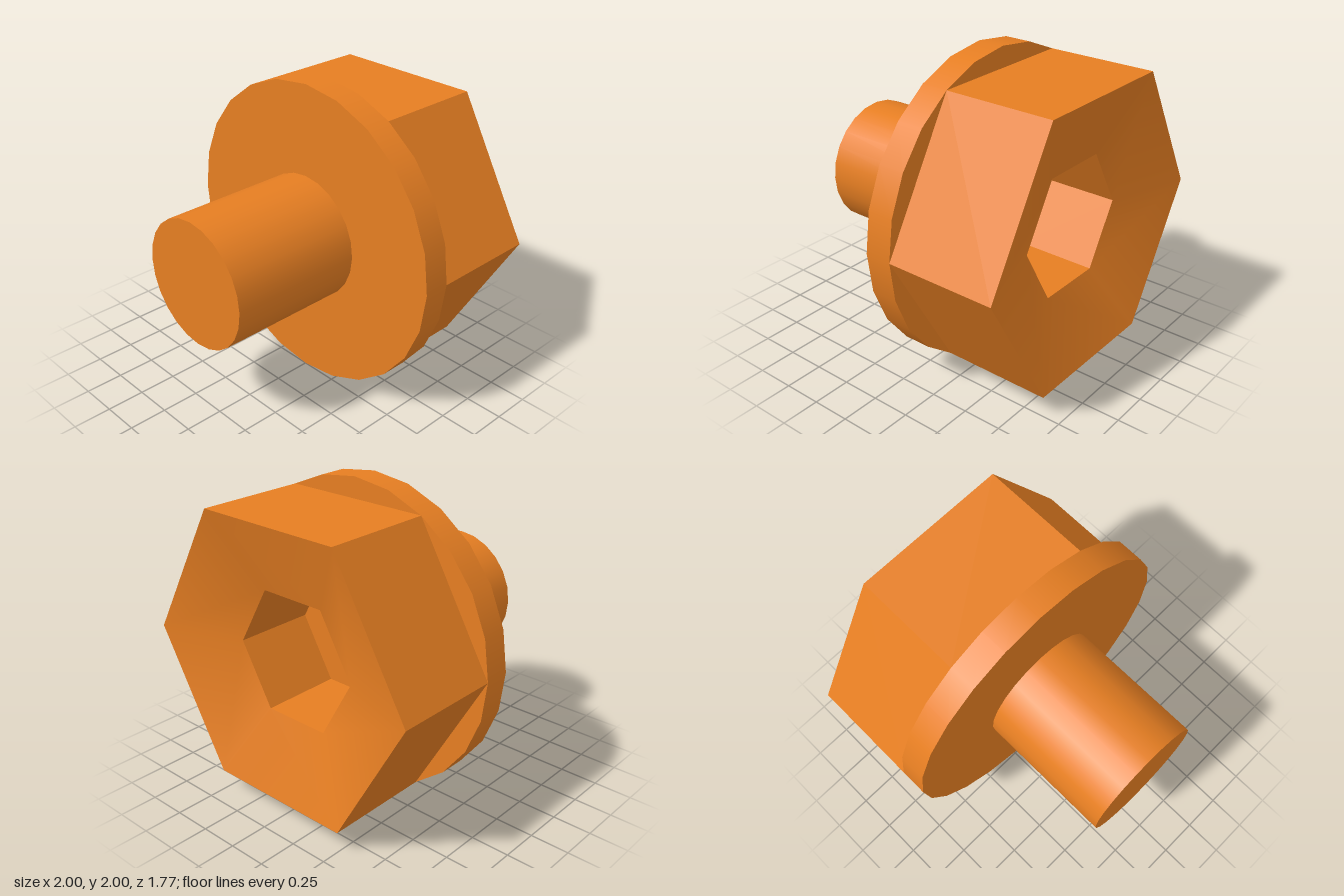
import * as THREE from 'three';

export function createModel() {
  const group = new THREE.Group();
  const color = 0xe67e22;
  const smooth = new THREE.MeshStandardMaterial({ color });
  const flat = new THREE.MeshStandardMaterial({ color, flatShading: true });
  const inside = new THREE.MeshStandardMaterial({ color, side: THREE.DoubleSide });
  const flatInside = new THREE.MeshStandardMaterial({ color, flatShading: true, side: THREE.DoubleSide });

  // Prism or cone along z, from zFront back to zBack, with a corner on the x axis
  function part(name, rBack, rFront, zFront, zBack, sides, open, material) {
    const geometry = new THREE.CylinderGeometry(rBack, rFront, zFront - zBack, sides, 1, open, Math.PI / 2);
    geometry.rotateX(-Math.PI / 2);
    const mesh = new THREE.Mesh(geometry, material);
    mesh.name = name;
    mesh.position.set(0, 1, (zFront + zBack) / 2);
    group.add(mesh);
  }

  const zTip = 0.885, zFlange = -0.175, zRim = -0.705, zBack = -0.885;
  const socketRadius = 0.45;

  // Round shaft and flange; the flange's back face is the socket floor
  part('shaft', 0.41, 0.41, zTip, 0, 24, false, smooth);
  part('flange', 1, 1, 0, zFlange, 24, false, smooth);

  // Hexagonal head with a sloped mouth leading into a straight hex socket
  part('headWall', 1, 1, zFlange, zBack, 6, true, flat);
  part('socketMouth', 1, socketRadius, zRim, zBack, 6, true, inside);
  part('socketWall', socketRadius, socketRadius, zFlange, zRim, 6, true, flatInside);

  return group;
}
